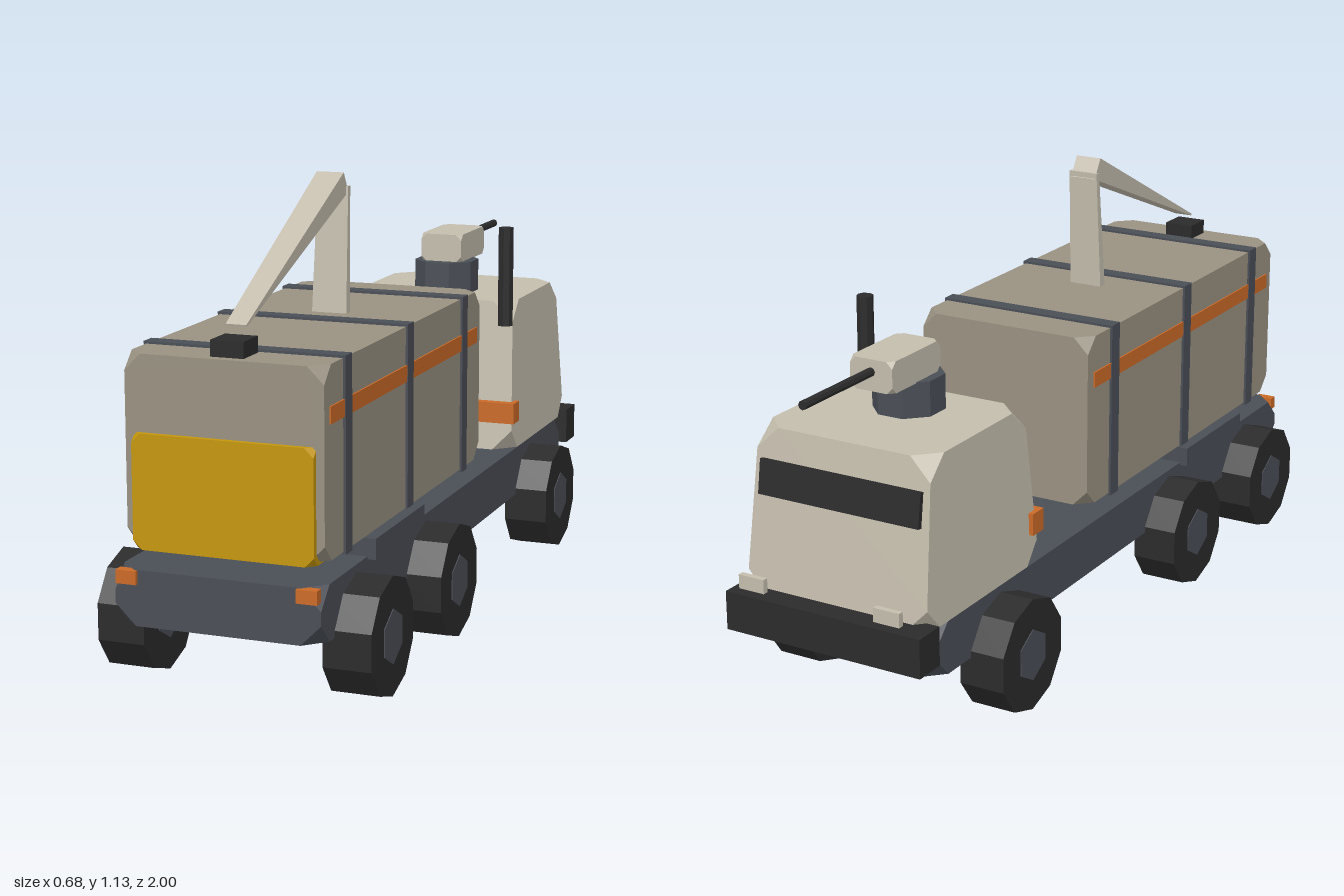
import * as THREE from 'three';
import { ConvexGeometry } from 'three/addons/geometries/ConvexGeometry.js';

const mat = (name, color) => {
  const m = new THREE.MeshStandardMaterial({ color });
  m.name = name;
  return m;
};

export function createModel() {
  const model = new THREE.Group();
  model.name = 'cargoTruck';
  const sand = mat('sand', 0xc4bdad);
  const drab = mat('drab', 0x999181);
  const steel = mat('steel', 0x4a4e56);
  const black = mat('black', 0x2b2b2b);
  const orange = mat('orange', 0xcb6a28);
  const yellow = mat('yellow', 0xc4960c);

  const add = (name, geometry, material) => {
    const mesh = new THREE.Mesh(geometry, material);
    mesh.name = name;
    model.add(mesh);
    return mesh;
  };

  // Box given by its limits on each axis
  const box = (name, material, x0, x1, y0, y1, z0, z1) => {
    const mesh = add(name, new THREE.BoxGeometry(x1 - x0, y1 - y0, z1 - z0), material);
    mesh.position.set((x0 + x1) / 2, (y0 + y1) / 2, (z0 + z1) / 2);
    return mesh;
  };

  // Six-sided block between two end rectangles { w: half width, y, z: [min, max] };
  // each corner is cut off by "clip" along its three edges
  const block = (name, material, low, high, clip = 0) => {
    const corner = (i, j, k) => {
      const end = j ? high : low;
      return new THREE.Vector3(i ? end.w : -end.w, Array.isArray(end.y) ? end.y[k] : end.y, end.z[k]);
    };
    const points = [];
    for (let n = 0; n < 8; n++) {
      const [i, j, k] = [n & 1, (n >> 1) & 1, n >> 2];
      const p = corner(i, j, k);
      if (!clip) { points.push(p); continue; }
      for (const q of [corner(1 - i, j, k), corner(i, 1 - j, k), corner(i, j, 1 - k)]) {
        points.push(p.clone().add(q.sub(p).setLength(clip)));
      }
    }
    return add(name, new ConvexGeometry(points), material);
  };
  const clipped = (name, material, w, y0, y1, z0, z1, clip) =>
    block(name, material, { w, y: y0, z: [z0, z1] }, { w, y: y1, z: [z0, z1] }, clip);

  // Faceted cylinder along an axis
  const rod = (name, material, radius, length, sides, axis, x, y, z) => {
    const g = new THREE.CylinderGeometry(radius, radius, length, sides).toNonIndexed();
    if (axis === 'x') g.rotateZ(Math.PI / 2);
    if (axis === 'z') g.rotateX(Math.PI / 2);
    g.computeVertexNormals();
    const mesh = add(name, g, material);
    mesh.position.set(x, y, z);
    return mesh;
  };

  // Chassis
  clipped('chassis', steel, 0.25, 0.165, 0.297, -0.86, 0.99, 0.05);
  box('sideStep', steel, -0.27, 0.27, 0.29, 0.34, 0.372, 0.705);
  box('bumper', black, -0.268, 0.268, 0.217, 0.314, -0.958, -0.875);

  // Wheels with hubs running through them
  for (const s of [-1, 1]) {
    for (const z of [0.775, 0.305, -0.575]) {
      const tyre = rod('tyre', black, 0.143, 0.117, 10, 'x', s * 0.279, 0.137, z);
      const hub = rod('hub', steel, 0.066, 0.121, 6, 'x', s * 0.279, 0.137, z);
      tyre.rotation.x = Math.PI / 2;
      hub.rotation.x = Math.PI / 2;
    }
    box('tailLight', orange, s * 0.219 - 0.025, s * 0.219 + 0.025, 0.264, 0.296, 0.975, 1);
    box('headLight', sand, s * 0.186 - 0.035, s * 0.186 + 0.035, 0.335, 0.37, -0.967, -0.952);
  }

  // Cab
  block('cab', sand, { w: 0.25, y: 0.297, z: [-0.9, -0.394] }, { w: 0.235, y: 0.7, z: [-0.848, -0.44] }, 0.055);
  const screen = box('windscreen', black, -0.22, 0.22, 0.54, 0.625, -0.876, -0.862);
  screen.rotation.x = 0.15;
  box('cabBand', orange, -0.258, 0.258, 0.374, 0.43, -0.435, -0.385);
  rod('exhaust', black, 0.021, 0.267, 8, 'y', 0.218, 0.771, -0.428);

  // Roof turret
  const ring = rod('turretRing', steel, 0.088, 0.09, 8, 'y', 0, 0.742, -0.574);
  ring.rotation.y = Math.PI / 8;
  clipped('turret', sand, 0.058, 0.785, 0.862, -0.73, -0.525, 0.016);
  rod('gunBarrel', black, 0.011, 0.29, 8, 'z', 0, 0.832, -0.855);

  // Cargo body with straps, side stripes and rear door
  clipped('cargoBody', drab, 0.24, 0.34, 0.782, -0.135, 0.942, 0.04);
  for (const z of [0.81, 0.405, 0]) box('strap', steel, -0.246, 0.246, 0.334, 0.788, z - 0.02, z + 0.02);
  for (const s of [-1, 1]) {
    box('sideStripe', orange, s * 0.241 - 0.003, s * 0.241 + 0.003, 0.65, 0.69, -0.105, 0.912);
  }
  clipped('rearDoor', yellow, 0.22, 0.334, 0.603, 0.6, 0.956, 0.022);

  // Folded crane
  block('craneMast', sand, { w: 0.045, y: 0.775, z: [0.288, 0.312] }, { w: 0.04, y: 1.09, z: [0.27, 0.284] });
  block('craneBoom', sand,
    { w: 0.035, y: [1.075, 0.843], z: [0.27, 0.865] },
    { w: 0.035, y: [1.125, 0.848], z: [0.3, 0.867] }).geometry.attributes.position;
  box('boomRest', black, -0.04, 0.04, 0.775, 0.82, 0.838, 0.918);

  // Narrow the boom towards its tip
  const boom = model.getObjectByName('craneBoom').geometry;
  const p = boom.attributes.position;
  for (let i = 0; i < p.count; i++) if (p.getZ(i) > 0.6) p.setX(i, p.getX(i) * 0.72);
  boom.computeVertexNormals();

  return model;
}
